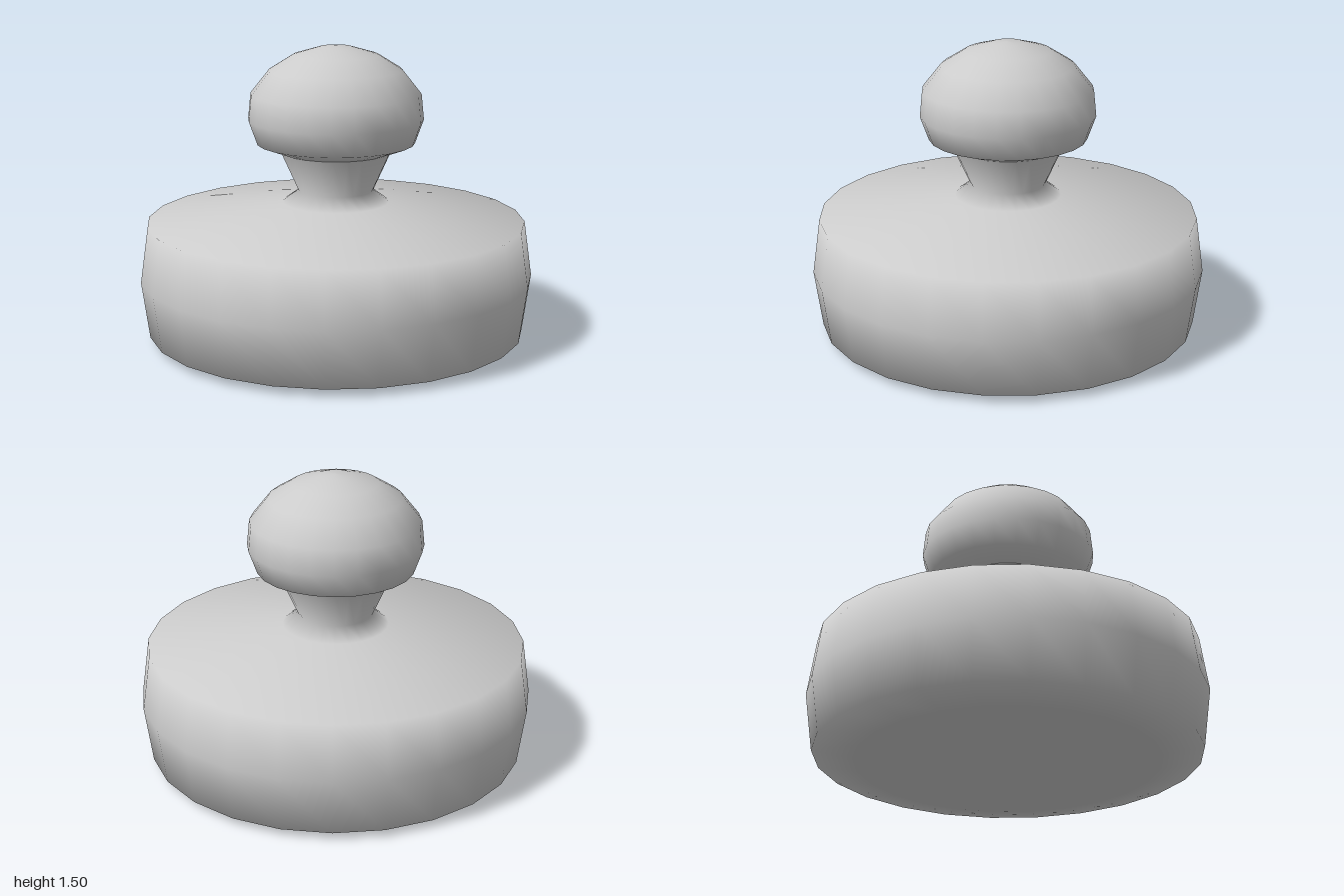
import * as THREE from 'three';

const SIDES = 24;

// Smooth turned part from [radius, height] points, listed bottom to top
function turned(name, profile, material) {
  const points = profile.map(([r, y]) => new THREE.Vector2(r, y));
  const mesh = new THREE.Mesh(new THREE.LatheGeometry(points, SIDES), material);
  mesh.name = name;
  return mesh;
}

export function createModel() {
  const group = new THREE.Group();
  group.name = 'knobbedDisc';
  const grey = new THREE.MeshStandardMaterial({ color: 0xcccccc });

  // Wide drum with a chamfered foot, bulging wall, sloped top and flared neck
  group.add(turned('base', [
    [0, 0], [0.75, 0.005], [0.96, 0.04], [1, 0.33], [0.96, 0.61],
    [0.27, 0.705], [0.19, 0.765], [0.28, 0.965],
  ], grey));

  // Mushroom-shaped grip
  group.add(turned('knob', [
    [0.28, 0.965], [0.4, 1.01], [0.443, 1.13], [0.43, 1.26],
    [0.335, 1.38], [0.215, 1.455], [0.08, 1.495], [0, 1.5],
  ], grey));

  return group;
}
